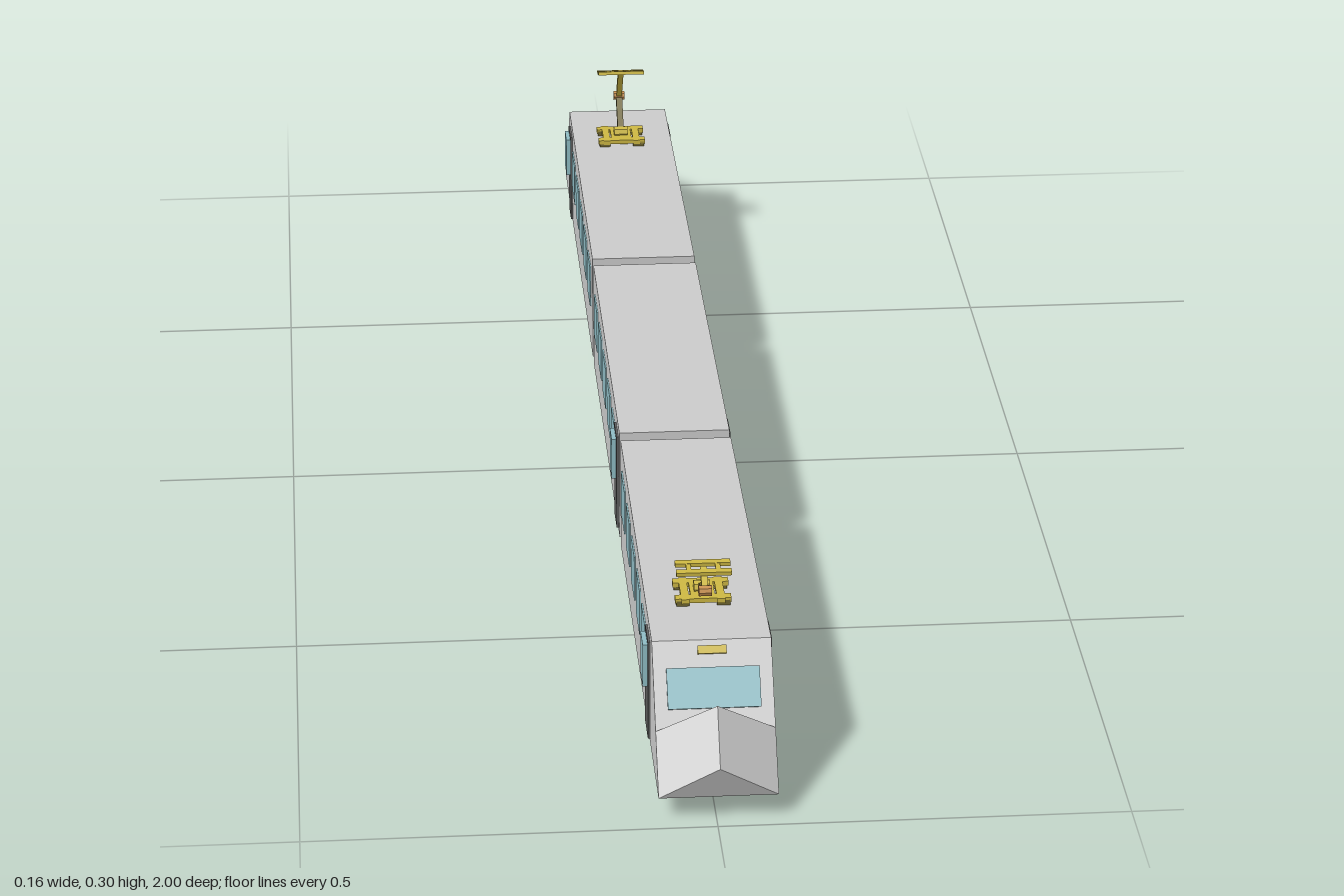
import * as THREE from 'three';

const mat = (color) => new THREE.MeshStandardMaterial({ color, flatShading: true });
const grey = mat(0xcccccc), dark = mat(0x5c5c5c), rubber = mat(0x444444);
const glass = mat(0x8fbcc4), yellow = mat(0xcdb843), olive = mat(0x6e6530), orange = mat(0xc8904f);

const HALF = 0.0725, FLOOR = 0.03, ROOF = 0.182;
const SLOPE_TOP = 0.865, SLOPE_END = 0.98;

function add(parent, name, geometry, material, x = 0, y = 0, z = 0) {
  const mesh = new THREE.Mesh(geometry, material);
  mesh.name = name;
  mesh.position.set(x, y, z);
  parent.add(mesh);
  return mesh;
}
const box = (parent, name, material, w, h, d, x, y, z) =>
  add(parent, name, new THREE.BoxGeometry(w, h, d), material, x, y, z);

// square bar between two points in the x = const plane
function bar(parent, name, material, x, [z1, y1], [z2, y2], t) {
  const m = box(parent, name, material, t, t, Math.hypot(z2 - z1, y2 - y1), x, (y1 + y2) / 2, (z1 + z2) / 2);
  m.rotation.x = -Math.atan2(y2 - y1, z2 - z1);
  return m;
}

// pointed nose with a central ridge
function noseGeometry() {
  const A = [0, 0.14, 0.956], T = [0, 0.078, 1];
  const B = (s) => [s * HALF, 0.095, 0.932], C = (s) => [s * HALF, FLOOR, SLOPE_END];
  const tris = [
    A, B(-1), C(-1), A, C(-1), T,
    A, C(1), B(1), A, T, C(1),
    T, C(-1), C(1),
    A, B(1), B(-1),
  ];
  const g = new THREE.BufferGeometry();
  g.setAttribute('position', new THREE.Float32BufferAttribute(tris.flat(), 3));
  g.computeVertexNormals();
  return g;
}

// end car with sloped cab, facing +z
function endCar() {
  const car = new THREE.Group();
  const side = new THREE.Shape([
    new THREE.Vector2(-0.3, FLOOR), new THREE.Vector2(-0.3, ROOF),
    new THREE.Vector2(-SLOPE_TOP, ROOF), new THREE.Vector2(-SLOPE_END, FLOOR),
  ]);
  const shell = new THREE.ExtrudeGeometry(side, { depth: HALF * 2, bevelEnabled: false });
  shell.translate(0, 0, -HALF).rotateY(Math.PI / 2);
  add(car, 'endCarBody', shell, grey);
  const noseMat = grey.clone();
  noseMat.side = THREE.DoubleSide;
  add(car, 'nose', noseGeometry(), noseMat);

  // windscreen and headlight lie on the slope
  const run = (SLOPE_END - SLOPE_TOP) / (ROOF - FLOOR);
  const onSlope = (name, material, w, h, d, y) => {
    const m = box(car, name, material, w, h, d, 0, y, SLOPE_TOP + (ROOF - y) * run);
    m.rotation.x = -Math.atan(run);
  };
  onSlope('windscreen', glass, 0.113, 0.05, 0.006, 0.135);
  onSlope('headlight', yellow, 0.035, 0.01, 0.008, 0.172);
  return car;
}

// current collector: base frame, folding arm and contact head
function pantograph(knee, head, tilt) {
  const p = new THREE.Group();
  p.name = 'pantograph';
  for (const sx of [-1, 1]) {
    for (const sz of [-1, 1])
      box(p, 'insulator', olive, 0.016, 0.008, 0.012, sx * 0.025, 0.185, sz * 0.022);
    box(p, 'baseRail', yellow, 0.01, 0.006, 0.06, sx * 0.022, 0.189, 0);
    box(p, 'baseCrossbar', yellow, 0.069, 0.006, 0.012, 0, 0.189, sx * 0.022);
  }
  box(p, 'basePlate', yellow, 0.03, 0.006, 0.044, 0, 0.189, 0);
  const pivot = add(p, 'armPivot', new THREE.CylinderGeometry(0.009, 0.009, 0.02, 8), yellow, 0, 0.194, 0);
  pivot.rotation.z = Math.PI / 2;
  bar(p, 'lowerArm', olive, 0, [0, 0.195], knee, 0.009);
  bar(p, 'upperArm', yellow, 0, knee, head, 0.008);
  const joint = add(p, 'kneeJoint', new THREE.CylinderGeometry(0.007, 0.007, 0.016, 8), orange, 0, knee[1], knee[0]);
  joint.rotation.z = Math.PI / 2;
  const top = new THREE.Group();
  top.name = 'contactHead';
  top.position.set(0, head[1], head[0]);
  top.rotation.x = tilt;
  for (const s of [-1, 1]) box(top, 'contactStrip', yellow, 0.068, 0.005, 0.009, 0, 0, s * 0.011);
  for (const s of [-1, 1]) box(top, 'stripLink', yellow, 0.006, 0.004, 0.022, s * 0.018, 0, 0);
  p.add(top);
  return p;
}

export function createModel() {
  const train = new THREE.Group();
  train.name = 'train';
  const body = new THREE.Group();
  body.name = 'carBodies';
  body.position.x = 0.0025;
  train.add(body);

  // cars
  const front = endCar(), rear = endCar();
  front.name = 'frontCar';
  rear.name = 'rearCar';
  rear.rotation.y = Math.PI;
  body.add(front, rear);
  box(body, 'middleCar', grey, HALF * 2, ROOF - FLOOR, 0.554, 0, (ROOF + FLOOR) / 2, 0);
  for (const s of [-1, 1]) box(body, 'gangway', rubber, 0.118, 0.125, 0.03, 0, 0.108, s * 0.288);

  // side windows and doors
  for (const s of [-1, 1]) {
    for (const start of [0.743, 0.171, -0.364])
      for (let i = 0; i < 5; i++)
        box(body, 'sideWindow', glass, 0.004, 0.061, 0.062, s * HALF, 0.125, start - i * 0.0938);
    for (const z of [0.82, 0.239, -0.815]) {
      box(body, 'door', dark, 0.006, 0.133, 0.046, s * HALF, 0.103, z);
      const out = s < 0 ? 0.009 : 0.0035;
      box(body, 'doorWindow', glass, out, 0.057, 0.036, s * (HALF + out / 2), 0.135, z);
    }
  }

  // wheels
  const wheel = new THREE.CylinderGeometry(0.021, 0.021, 0.008, 16).rotateZ(Math.PI / 2);
  for (const z of [0.806, 0.723, 0.45, 0.365, 0.217, 0.134, -0.115, -0.198, -0.365, -0.45, -0.723, -0.806])
    for (const x of [-0.051, 0.052]) add(train, 'wheel', wheel, grey, x, 0.021, z);

  // folded collector in front, raised one at the rear
  const folded = pantograph([0.052, 0.215], [0.022, 0.231], 0.08);
  folded.position.z = 0.748;
  const raised = pantograph([0.038, 0.238], [-0.004, 0.291], 0.3);
  raised.position.z = -0.748;
  raised.rotation.y = Math.PI;
  train.add(folded, raised);
  return train;
}
